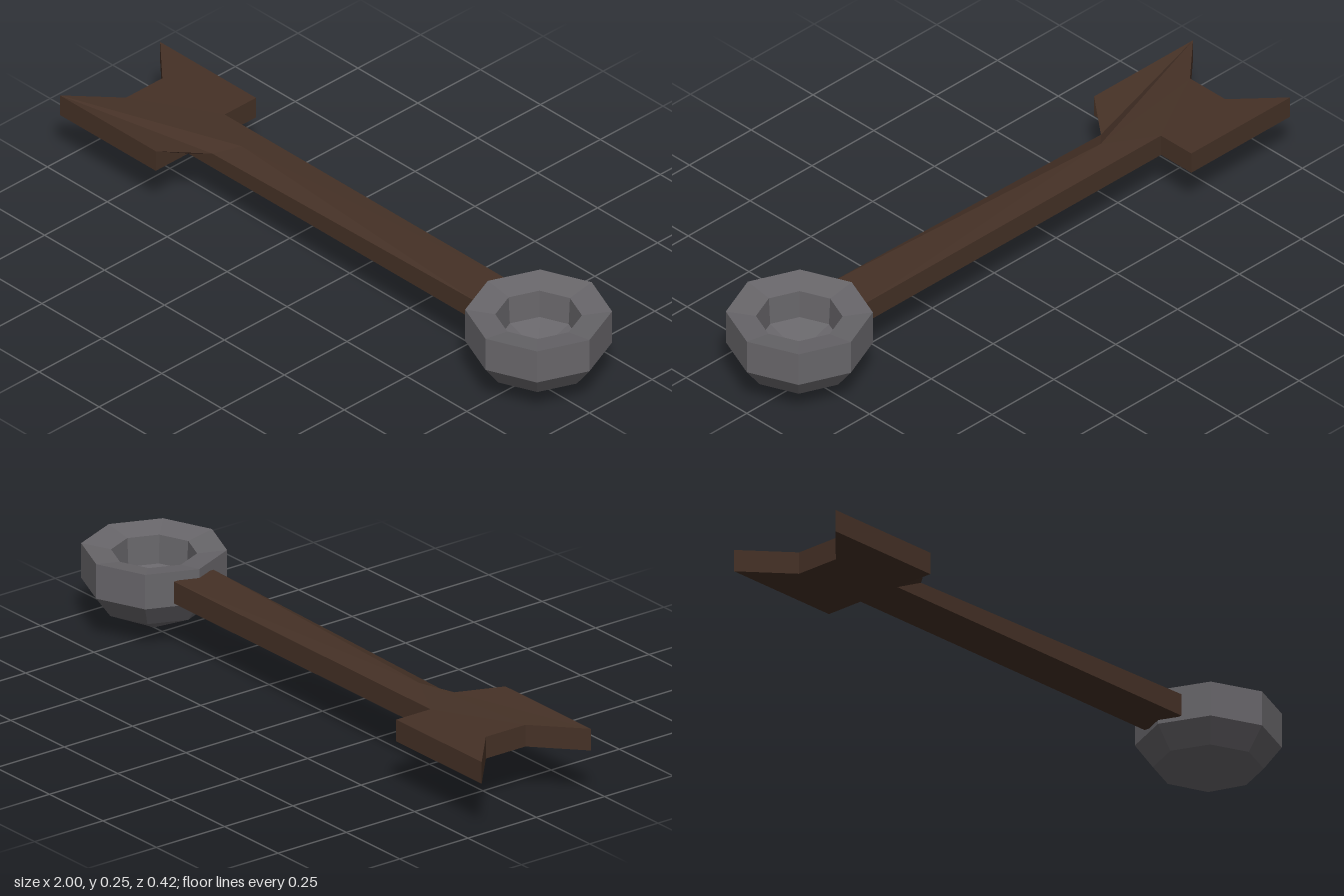
import * as THREE from 'three';

const wood = new THREE.MeshStandardMaterial({ color: 0x453126 });
wood.name = 'dark wood';
const iron = new THREE.MeshStandardMaterial({ color: 0x68666a });
iron.name = 'grey iron';

// Give every triangle its own flat normal
function facet(geometry) {
  const flat = geometry.index ? geometry.toNonIndexed() : geometry;
  flat.computeVertexNormals();
  return flat;
}

// Arrow-tailed handle: one outline, clockwise from above, at two heights
function handleGeometry() {
  const low = 0.157, high = 0.225;
  const outline = [
    [-1, -0.2], [-0.6, -0.2], [-0.6, -0.075], [0.6, -0.075], [0.6, 0.07],
    [-0.6, 0.07], [-0.6, 0.2], [-1, 0.2], [-0.86, 0.07], [-0.86, -0.075],
  ];
  const bottom = outline.map(([x, z]) => [x, low, z]);
  const top = outline.map(([x, z]) => [x, high, z]);
  top[5] = [-0.5, 0.205, 0.07]; // skewed upper notch corner
  top.push([-0.44, 0.232, 0.01]); // slight ridge on the upper face

  const topFaces = [[0, 1, 2], [0, 2, 9], [9, 2, 8], [8, 2, 10], [8, 10, 7],
    [2, 3, 10], [3, 4, 10], [4, 5, 10], [10, 5, 7], [5, 6, 7]];
  const bottomFaces = [[0, 1, 2], [0, 2, 9], [9, 2, 8], [2, 3, 4], [2, 4, 5],
    [8, 2, 5], [8, 5, 7], [5, 6, 7]];

  const points = [];
  for (const [a, b, c] of topFaces) points.push(top[a], top[c], top[b]);
  for (const [a, b, c] of bottomFaces) points.push(bottom[a], bottom[b], bottom[c]);
  for (let i = 0; i < outline.length; i++) {
    const j = (i + 1) % outline.length;
    points.push(bottom[i], top[i], top[j], bottom[i], top[j], bottom[j]);
  }
  const geometry = new THREE.BufferGeometry();
  geometry.setAttribute('position', new THREE.Float32BufferAttribute(points.flat(), 3));
  return facet(geometry);
}

// Eight-sided bowl: pointed base, upright wall, thick rim, hollow inside
function bowlGeometry() {
  const profile = [
    [0, 0], [0.16, 0.077], [0.212, 0.145], [0.212, 0.253],
    [0.125, 0.238], [0.12, 0.15], [0, 0.11],
  ].map(([r, y]) => new THREE.Vector2(r, y));
  return facet(new THREE.LatheGeometry(profile, 8));
}

export function createModel() {
  const model = new THREE.Group();
  model.name = 'spoon';

  const handle = new THREE.Mesh(handleGeometry(), wood);
  handle.name = 'handle';

  const bowl = new THREE.Mesh(bowlGeometry(), iron);
  bowl.name = 'bowl';
  bowl.position.x = 0.788;

  model.add(handle, bowl);
  return model;
}
